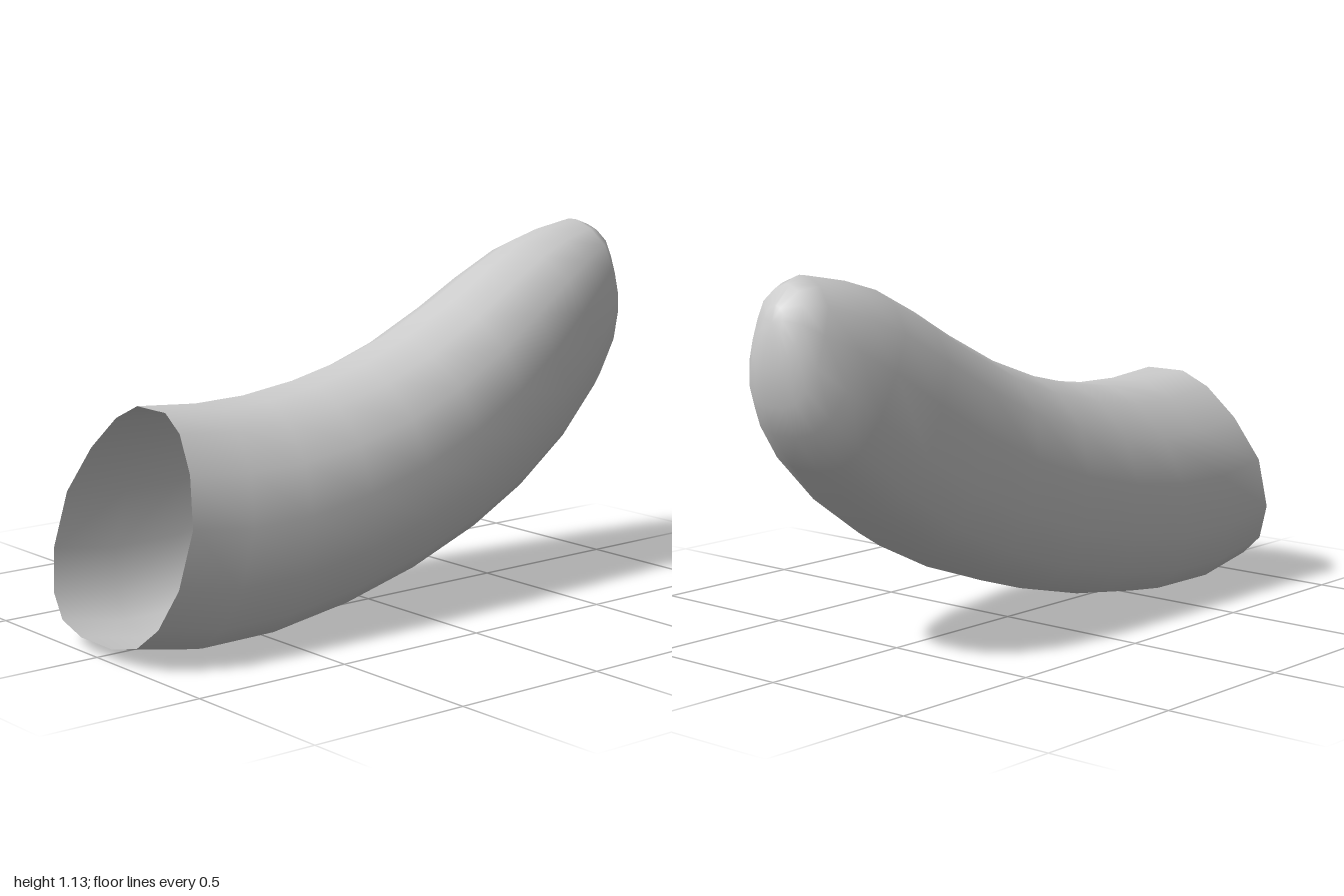
import * as THREE from 'three';

// Rings along the tube: lower edge x, y, upper edge x, y, half width in z
const RINGS = [
  [-1, 0.043, -0.8, 0.695, 0.32],
  [-0.78, 0.002, -0.6, 0.68, 0.322],
  [-0.52, 0.004, -0.43, 0.685, 0.322],
  [-0.24, 0.045, -0.25, 0.71, 0.318],
  [0.03, 0.11, -0.06, 0.755, 0.306],
  [0.29, 0.2, 0.12, 0.82, 0.287],
  [0.5, 0.3, 0.31, 0.915, 0.265],
  [0.7, 0.435, 0.45, 0.995, 0.243],
  [0.86, 0.585, 0.6, 1.07, 0.212],
  [0.94, 0.69, 0.72, 1.105, 0.178],
  [0.98, 0.775, 0.86, 1.13, 0.135],
  [1, 0.88, 0.92, 1.11, 0.085],
  [0.99, 0.965, 0.965, 1.055, 0.035],
];
const TIP = [0.982, 1.01, 0];

// Half cross-section, lower to upper edge: height fraction, width fraction at open end, at tip
const SECTION = [
  [0, 0.25, 0.25], [0.04, 0.6, 0.6], [0.14, 0.84, 0.84], [0.32, 1, 1],
  [0.57, 1, 1], [0.78, 0.78, 0.92], [0.93, 0.5, 0.55], [1, 0.22, 0.12],
];

function curvedTube() {
  const n = SECTION.length, sides = n * 2;
  const positions = [], index = [];
  const lerp = THREE.MathUtils.lerp;

  RINGS.forEach(([x0, y0, x1, y1, w], r) => {
    const k = Math.min(1, r / 8);
    for (let i = 0; i < sides; i++) {
      const [t, open, tip] = SECTION[i < n ? i : sides - 1 - i];
      const z = w * lerp(open, tip, k) * (i < n ? 1 : -1);
      positions.push(lerp(x0, x1, t), lerp(y0, y1, t), z);
    }
  });
  positions.push(...TIP);

  // Skin between neighbouring rings
  for (let r = 0; r < RINGS.length - 1; r++) {
    for (let i = 0; i < sides; i++) {
      const a = r * sides + i, d = r * sides + (i + 1) % sides;
      index.push(a, a + sides, d, a + sides, d + sides, d);
    }
  }
  // Rounded tip closes to one point
  const last = (RINGS.length - 1) * sides, pole = RINGS.length * sides;
  for (let i = 0; i < sides; i++) index.push(last + i, pole, last + (i + 1) % sides);

  const geometry = new THREE.BufferGeometry();
  geometry.setAttribute('position', new THREE.Float32BufferAttribute(positions, 3));
  geometry.setIndex(index);
  geometry.computeVertexNormals();
  return geometry;
}

export function createModel() {
  const group = new THREE.Group();
  group.name = 'curvedHollowTube';
  // Thin open shell, seen from inside through the open end
  const material = new THREE.MeshStandardMaterial({ color: 0xcccccc, side: THREE.DoubleSide });
  const shell = new THREE.Mesh(curvedTube(), material);
  shell.name = 'shell';
  group.add(shell);
  return group;
}
